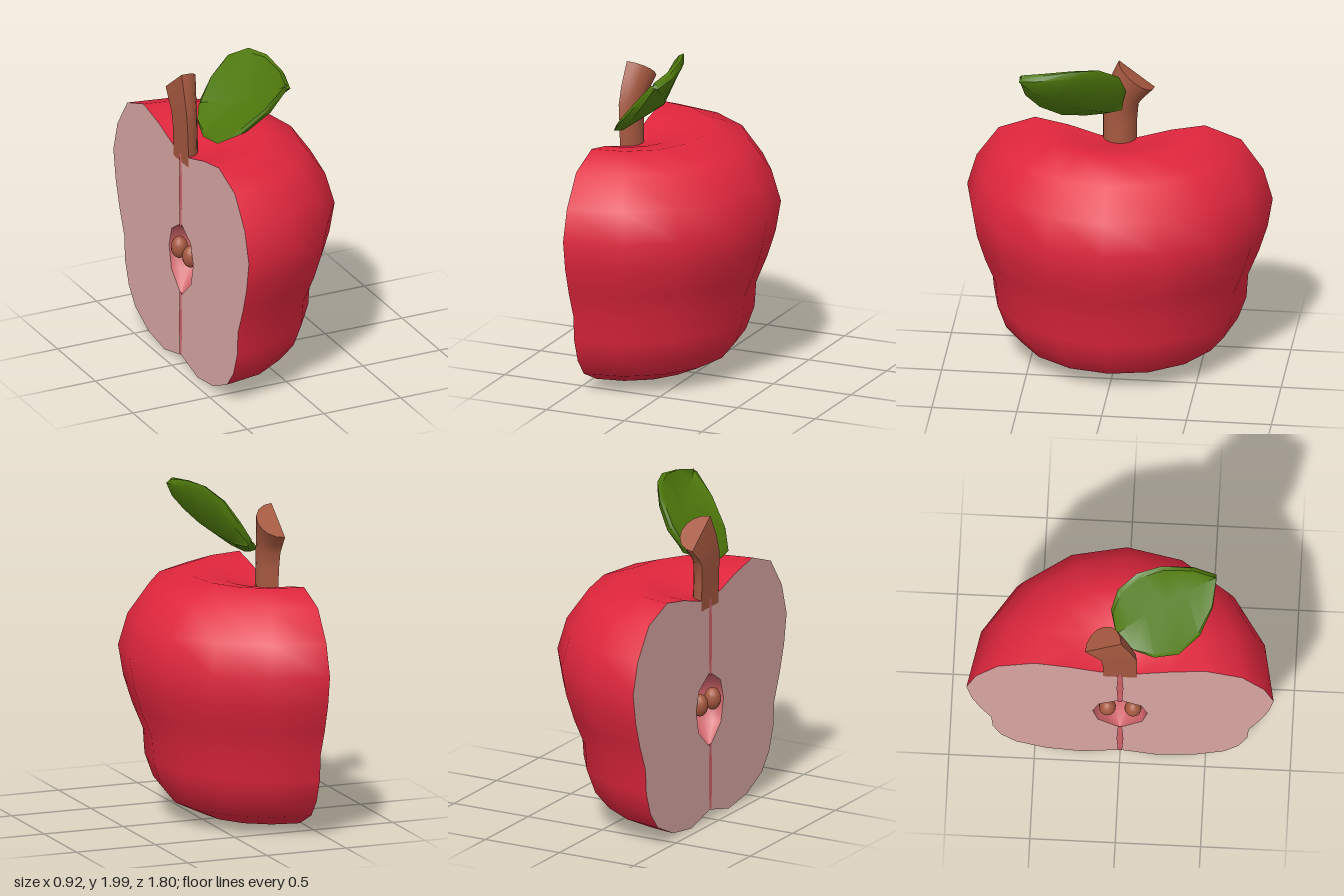
import * as THREE from 'three';
import { toCreasedNormals } from 'three/addons/utils/BufferGeometryUtils.js';

const CUT = -0.44; // x of the sliced face
const V = (x, y, z) => new THREE.Vector3(x, y, z);
const material = (name, color) => {
  const m = new THREE.MeshStandardMaterial({ color });
  m.name = name;
  return m;
};

// Joins equal-length closed rings of points into a capped solid
function loft(rings, crease) {
  const n = rings[0].length, pos = [], index = [];
  rings.forEach(r => r.forEach(p => pos.push(p.x, p.y, p.z)));
  for (let i = 0; i < rings.length - 1; i++) {
    for (let j = 0; j < n; j++) {
      const a = i * n + j, b = i * n + (j + 1) % n;
      index.push(a, a + n, b, b, a + n, b + n);
    }
  }
  const last = (rings.length - 1) * n;
  for (let j = 1; j < n - 1; j++) {
    index.push(0, j, j + 1, last, last + j + 1, last + j);
  }
  const g = new THREE.BufferGeometry();
  g.setAttribute('position', new THREE.Float32BufferAttribute(pos, 3));
  g.setIndex(index);
  return toCreasedNormals(g, crease);
}

export function createModel() {
  const model = new THREE.Group();
  const skin = material('red skin', 0xe0263d);
  const flesh = material('pale flesh', 0xd8a6a2);
  const core = material('pink core', 0xd0646a);
  const wood = material('brown stem', 0xa5583f);
  const green = material('leaf green', 0x4f7a0c);
  wood.side = green.side = THREE.DoubleSide;

  const add = (name, geometry, mat, x = 0, y = 0, z = 0) => {
    const mesh = new THREE.Mesh(geometry, mat);
    mesh.name = name;
    mesh.position.set(x, y, z);
    model.add(mesh);
    return mesh;
  };
  const points = list => list.map(([x, y]) => new THREE.Vector2(x, y));
  // Mirrors a half profile into a closed outline
  const outline = half => [...half, ...half.slice(1, -1).reverse().map(p => new THREE.Vector2(-p.x, p.y))];

  // Half-turned skin
  const profile = points([
    [0, 0.055], [0.22, 0], [0.43, 0.03], [0.61, 0.115], [0.695, 0.22], [0.745, 0.36],
    [0.755, 0.51], [0.82, 0.67], [0.87, 0.83], [0.9, 1.01], [0.845, 1.2], [0.715, 1.385],
    [0.5, 1.465], [0.3, 1.425], [0.12, 1.37], [0, 1.35],
  ]);
  add('skin', new THREE.LatheGeometry(profile, 8, 0, Math.PI), skin, CUT);

  // Sliced face with an opening for the seed cavity
  const cavity = points([[0, 0.9], [0.125, 0.82], [0.16, 0.7], [0.13, 0.56], [0, 0.44]]);
  const face = new THREE.Shape(outline(profile));
  face.holes.push(new THREE.Path(outline(cavity)));
  add('cutFace', new THREE.ShapeGeometry(face), flesh, CUT).rotation.y = -Math.PI / 2;
  add('seedCavity', new THREE.LatheGeometry(cavity, 8, 0, Math.PI), core, CUT);

  // Core lines above and below the cavity
  for (const [y0, y1] of [[0.06, 0.46], [0.88, 1.35]]) {
    const line = new THREE.Shape(points([[-0.012, y0], [0.012, y0], [0.02, (y0 + y1) / 2],
      [0.012, y1], [-0.012, y1], [-0.02, (y0 + y1) / 2]]));
    add('coreLine', new THREE.ShapeGeometry(line), core, CUT - 0.004).rotation.y = -Math.PI / 2;
  }

  // Pair of seeds
  for (const side of [-1, 1]) {
    const seed = add('seed', new THREE.SphereGeometry(1, 14, 10), wood, -0.415, 0.715, side * 0.075);
    seed.scale.set(0.05, 0.068, 0.05);
  }

  // Half-round stem leaning back, with a slanted end: [y, z, radius, tilt, x shift]
  const stemRings = [
    [1.3, 0, 0.1, 0, 0], [1.48, 0, 0.1, 0, -0.004], [1.6, -0.005, 0.105, 0.15, -0.01],
    [1.68, -0.04, 0.115, 0.4, -0.008], [1.78, -0.1, 0.133, 0.65, 0],
  ].map(([y, z, r, tilt, dx]) => Array.from({ length: 9 }, (_, i) => {
    const a = i / 8 * Math.PI, c = r * Math.cos(a);
    return V(CUT + dx + r * Math.sin(a), y + c * Math.sin(tilt), z + c * Math.cos(tilt));
  }).reverse());
  add('stem', loft(stemRings, 0.7), wood);

  // Folded leaf: left edge, right edge and position along the midrib per station
  const base = V(-0.3, 1.64, -0.03), tip = V(-0.02, 1.925, 0.545);
  const normal = V(-0.77, 0.64, 0.04).normalize();
  const stations = [
    [V(-0.37, 1.57, 0.08), V(-0.2, 1.78, -0.065), 0.12],
    [V(-0.395, 1.535, 0.2), V(-0.12, 1.91, -0.03), 0.3],
    [V(-0.37, 1.54, 0.34), V(-0.04, 1.985, 0.08), 0.5],
    [V(-0.28, 1.63, 0.46), V(0.01, 1.99, 0.22), 0.7],
    [V(-0.15, 1.77, 0.53), V(0.02, 1.96, 0.4), 0.87],
  ];
  const leafRing = (left, right, t, thick) => {
    const mid = base.clone().lerp(tip, t).addScaledVector(normal, -0.045 * Math.sin(t * Math.PI));
    const off = (p, inset, d) => p.clone().lerp(mid, inset).addScaledVector(normal, d * thick);
    return [off(left, 0.1, 0.018), mid, off(right, 0.1, 0.018), right,
      off(right, 0.12, -0.03), off(mid, 0, -0.055), off(left, 0.12, -0.03), left];
  };
  const end = (p, next, t) => leafRing(p.clone().lerp(next[0], 0.1), p.clone().lerp(next[1], 0.1), t, 0.6);
  const leafRings = [
    end(base, stations[0], 0),
    ...stations.map(([l, r, t]) => leafRing(l, r, t, 1)),
    end(tip, stations[4], 1),
  ];
  add('leaf', loft(leafRings.map(r => r.reverse()), 0.75), green);

  return model;
}
